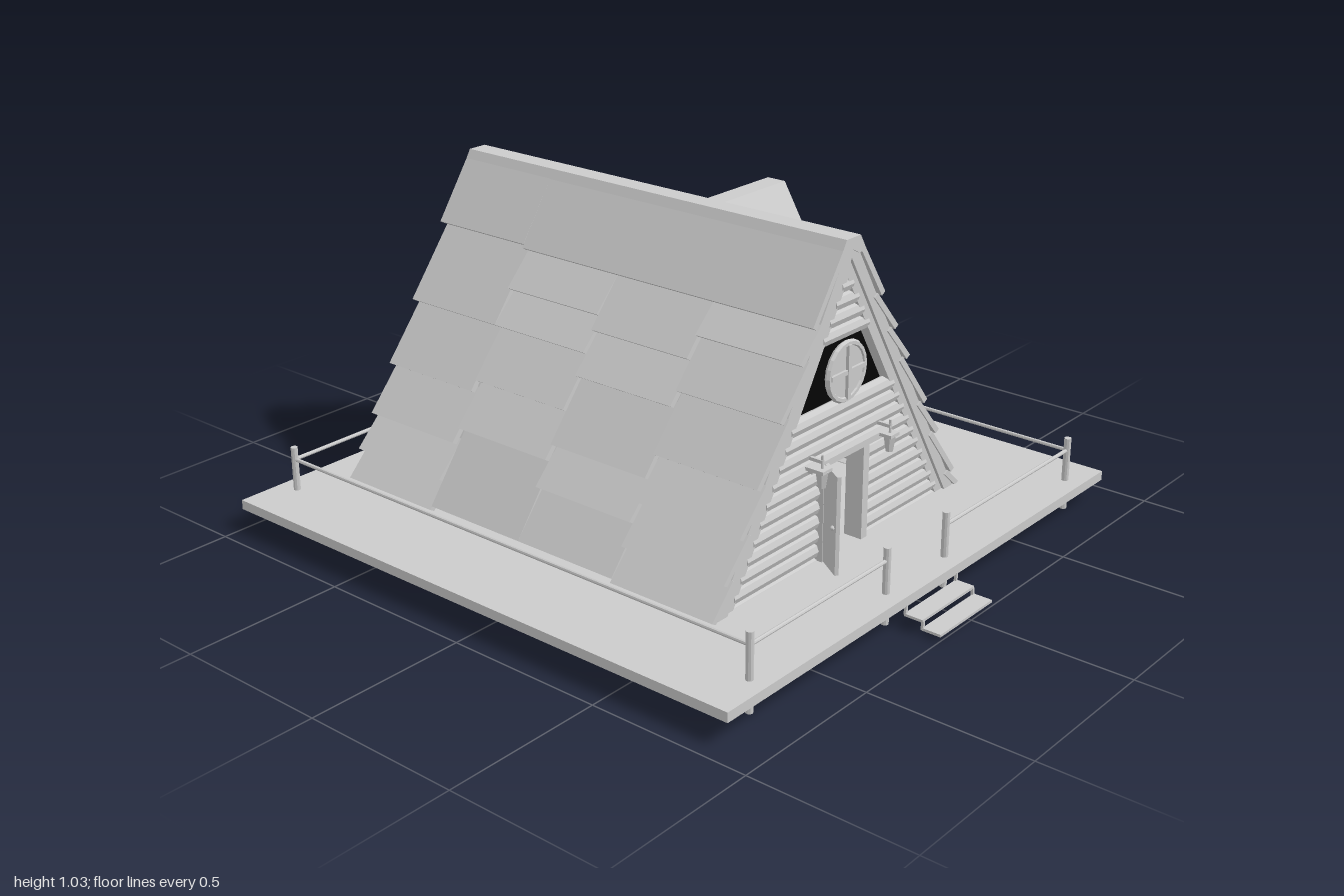
import * as THREE from 'three';

const grey = new THREE.MeshStandardMaterial({ color: 0xcccccc, flatShading: true, side: THREE.DoubleSide });
const black = new THREE.MeshStandardMaterial({ color: 0x050505, side: THREE.DoubleSide });
const CX = -0.027;                     // house centre line
const MAIN = { top: 1.03, half: 0.032, k: 0.6 };
const DORM = { top: 0.945, half: 0.033, k: 0.55 };
const halfAt = (r, y) => r.half + (r.top - y) * r.k;
const down = (r, y) => (r.top - y) * Math.hypot(1, r.k);   // distance along slope

function add(parent, name, geo, x = 0, y = 0, z = 0, mat = grey) {
  const m = new THREE.Mesh(geo, mat);
  m.name = name;
  m.position.set(x, y, z);
  parent.add(m);
  return m;
}
// box given by its limits
function box(parent, name, x0, x1, y0, y1, z0, z1) {
  return add(parent, name, new THREE.BoxGeometry(x1 - x0, y1 - y0, z1 - z0), (x0 + x1) / 2, (y0 + y1) / 2, (z0 + z1) / 2);
}
function rod(parent, name, r, a, b, sides = 8) {
  const A = new THREE.Vector3(...a), d = new THREE.Vector3(...b).sub(A);
  const m = add(parent, name, new THREE.CylinderGeometry(r, r, d.length(), sides));
  m.position.copy(A).addScaledVector(d, 0.5);
  m.quaternion.setFromUnitVectors(new THREE.Vector3(0, 1, 0), d.normalize());
}
function extrude(parent, name, pts, depth, z = 0) {
  const shape = new THREE.Shape(pts.map(p => new THREE.Vector2(...p)));
  return add(parent, name, new THREE.ExtrudeGeometry(shape, { depth, bevelEnabled: false }), 0, 0, z);
}
// frame on a roof slope: x runs down, y points outward; side -1 mirrors it
function slope(parent, r, side) {
  const mirror = new THREE.Group(), g = new THREE.Group();
  mirror.name = side > 0 ? 'slopeLeft' : 'slopeRight';
  mirror.scale.x = side;
  g.position.set(r.half, r.top, 0);
  g.rotation.z = -Math.atan2(1, r.k);
  mirror.add(g);
  parent.add(mirror);
  return g;
}

function roundWindow(parent, y, z, radius) {
  const g = new THREE.Group();
  g.name = 'roundWindow';
  g.position.set(0, y, z);
  parent.add(g);
  add(g, 'windowFrame', new THREE.TorusGeometry(radius - 0.009, 0.01, 6, 20));
  add(g, 'windowPane', new THREE.CylinderGeometry(radius - 0.01, radius - 0.01, 0.008, 20)).rotation.x = Math.PI / 2;
  const b = radius - 0.012;
  box(g, 'windowBar', -0.007, 0.007, -b, b, -0.008, 0.014);
  box(g, 'windowBar', -b, b, -0.007, 0.007, -0.008, 0.012);
}

// log wall with rafters, facing +z
function gable(name, r, o) {
  const g = new THREE.Group();
  g.name = name;
  const inner = y => halfAt(r, y) - o.inset;
  for (let y = o.base + o.first; inner(y + 0.02) > 0; y += o.step) {
    const w = inner(y);
    if (o.band && y > o.band[0] && y < o.band[1]) continue;
    if (o.door && y < 0.39) {
      rod(g, 'wallLog', o.log, [-w, y, 0], [-0.085, y, 0]);
      rod(g, 'wallLog', o.log, [0.085, y, 0], [w, y, 0]);
    } else rod(g, 'wallLog', o.log, [-w, y, 0], [w, y, 0]);
  }
  if (o.band) {
    const [a, b] = o.band, s = new THREE.Shape();
    s.moveTo(-inner(a), a).lineTo(inner(a), a).lineTo(inner(b), b).lineTo(-inner(b), b);
    add(g, 'darkGlass', new THREE.ShapeGeometry(s), 0, 0, -0.012, black);
  }
  roundWindow(g, o.windowY, 0.022, o.windowR);
  for (const side of [1, -1]) {
    const f = slope(g, r, side), end = down(r, o.base);
    box(f, 'outerRafter', 0.02, end, -0.058, -0.022, -0.02, 0.03);
    box(f, 'innerRafter', 0.045, end - 0.035, -o.inset * 0.86 - 0.012, -0.058, -0.02, 0.02);
  }
  return g;
}

// overlapping panels: columns of [z0, z1, heights of the lower edges]
function shingles(parent, columns, lift) {
  for (const [z0, z1, edges] of columns) {
    let u0 = 0;
    edges.forEach((y, i) => {
      const u1 = down(MAIN, y), s = u0 - (i ? 0.02 : 0), t = i ? -0.02 : -0.002;
      const out = i === edges.length - 1 ? lift / 2 : lift;
      extrude(parent, 'shingle', [[s, t], [u1, out], [u1, out - 0.018], [s, t - 0.018]], z1 - z0, z0);
      u0 = u1;
    });
  }
}

function ridge(parent, name, r, length, z) {
  const h = r.half, drop = 0.05, w = h + drop * r.k;
  extrude(parent, name, [[-h, r.top], [h, r.top], [w, r.top - drop], [w - 0.035, r.top - drop], [0, r.top - 0.035], [-w + 0.035, r.top - drop], [-w, r.top - drop]], length, z);
}

function createDormer() {
  const g = new THREE.Group();
  g.name = 'dormer';
  g.position.z = -0.1;
  const roofX = y => CX + halfAt(MAIN, y) - 0.015;
  for (const side of [1, -1]) {
    const mirror = new THREE.Group(), f = new THREE.Group();
    mirror.scale.z = side;
    f.position.set(0, DORM.top, DORM.half);
    f.rotation.x = Math.PI - Math.atan2(DORM.k, 1);   // y runs down the slope, z inward
    mirror.add(f);
    g.add(mirror);
    let y0 = DORM.top;
    [[0.74, 0.52, 0.012], [0.55, 0.525, 0.018], [0.385, 0.51, 0.006]].forEach(([y1, x1, out], i) => {
      const L = down(DORM, y1) - down(DORM, y0) + (i ? 0.02 : 0);
      const p = extrude(f, 'dormerShingle', [[roofX(y0), -L], [x1, -L], [x1 - 0.005, 0], [roofX(y1), 0]], 0.024);
      p.position.set(0, down(DORM, y1), -out);
      p.rotation.x = -(out + (i ? 0.015 : 0)) / L;
      y0 = y1;
    });
  }
  const cap = new THREE.Group();
  cap.rotation.y = Math.PI / 2;
  g.add(cap);
  ridge(cap, 'dormerRidge', DORM, 0.46, 0.06);
  const wall = gable('dormerGable', DORM, { base: 0.385, first: 0.022, inset: 0.085, step: 0.036, log: 0.019, windowY: 0.65, windowR: 0.085 });
  wall.rotation.y = Math.PI / 2;
  wall.position.x = 0.475;
  g.add(wall);
  return g;
}

export function createModel() {
  const root = new THREE.Group();
  root.name = 'cabin';

  // deck, steps and railing
  box(root, 'deck', -0.928, 0.925, 0.065, 0.095, -1, 0.885);
  box(root, 'step', -0.155, 0.105, 0.036, 0.044, 0.88, 0.94);
  box(root, 'step', -0.155, 0.105, 0.012, 0.02, 0.94, 1);
  for (const x of [-0.15, 0.1]) {
    box(root, 'stepRiser', x - 0.004, x + 0.004, 0.012, 0.04, 0.935, 0.943);
    box(root, 'stepRiser', x - 0.004, x + 0.004, 0.04, 0.07, 0.878, 0.886);
  }
  const path = [[-0.17, 0.828], [-0.77, 0.828], [-0.77, -0.933], [0.795, -0.933], [0.795, 0.828], [0.12, 0.828]];
  path.forEach(([x, z], i) => {
    rod(root, 'railPost', 0.011, [x, 0, z], [x, 0.235, z], 10);
    if (i) rod(root, 'handrail', 0.006, [path[i - 1][0], 0.195, path[i - 1][1]], [x, 0.195, z]);
  });

  const house = new THREE.Group();
  house.name = 'house';
  house.position.x = CX;
  root.add(house);

  // main roof
  const left = slope(house, MAIN, 1), right = slope(house, MAIN, -1);
  shingles(left, [
    [0.29, 0.585, [0.83, 0.71, 0.6, 0.43, 0.31, 0.15, 0.097]],
    [0.23, 0.29, [0.83, 0.72, 0.6, 0.43, 0.31, 0.15, 0.097]],
    [-0.13, 0.23, [0.83, 0.72, 0.6, 0.37, 0.097]],
    [-0.5, -0.13, [0.83, 0.72, 0.6, 0.37, 0.15, 0.097]],
    [-0.86, -0.5, [0.82, 0.585, 0.42, 0.3, 0.14, 0.115]],
  ], 0.008);
  shingles(right, [
    [0.22, 0.585, [0.81, 0.72, 0.58, 0.42, 0.3, 0.19, 0.1]],
    [-0.14, 0.22, [0.81, 0.66, 0.54, 0.36, 0.25, 0.11]],
    [-0.5, -0.14, [0.81, 0.7, 0.6, 0.45, 0.32, 0.11]],
    [-0.86, -0.5, [0.82, 0.6, 0.42, 0.28, 0.18, 0.1]],
  ], 0.014);
  for (const f of [left, right]) box(f, 'roofBoard', 0.02, down(MAIN, 0.115), -0.07, -0.024, -0.84, 0.565);
  ridge(house, 'ridgeCap', MAIN, 1.445, -0.86);

  // sill logs along the sides, sunk into the deck
  for (const x of [-0.5, 0.5]) rod(house, 'sillLog', 0.024, [x, 0.08, -0.83], [x, 0.08, 0.555]);

  // gable walls
  const opts = { base: 0.095, first: -0.015, inset: 0.09, step: 0.045, log: 0.024, band: [0.545, 0.74], windowY: 0.64, windowR: 0.092 };
  const front = gable('frontGable', MAIN, { ...opts, door: true });
  front.position.z = 0.55;
  const back = gable('backGable', MAIN, opts);
  back.rotation.y = Math.PI;
  back.position.z = -0.825;
  house.add(front, back);

  // doorway and open door
  for (const x of [-0.095, 0.095]) box(house, 'doorJamb', x - 0.014, x + 0.014, 0.095, 0.4, 0.525, 0.585);
  box(house, 'doorLintel', -0.17, 0.17, 0.39, 0.41, 0.525, 0.59);
  const door = new THREE.Group();
  door.name = 'door';
  door.position.set(-0.08, 0, 0.555);
  door.rotation.y = Math.PI + Math.atan2(0.115, 0.075);
  house.add(door);
  box(door, 'doorLeaf', 0, 0.137, 0.1, 0.4, -0.006, 0.006);
  add(door, 'doorKnob', new THREE.SphereGeometry(0.007, 8, 6), 0.12, 0.24, 0.01);

  // wall lamps
  for (const x of [-0.155, 0.17]) {
    const lamp = new THREE.Group();
    lamp.name = 'wallLamp';
    lamp.position.set(x, 0, 0);
    house.add(lamp);
    box(lamp, 'lampPlate', -0.022, 0.022, 0.4, 0.41, 0.565, 0.63);
    box(lamp, 'lampArm', -0.005, 0.005, 0.425, 0.435, 0.57, 0.615);
    add(lamp, 'lampShade', new THREE.CylinderGeometry(0.02, 0.012, 0.05, 6), 0, 0.378, 0.612);
    rod(lamp, 'lampHook', 0.004, [0, 0.4, 0.612], [0, 0.45, 0.612]);
  }

  // small table indoors
  box(house, 'tableTop', -0.06, 0.04, 0.165, 0.175, 0.1, 0.25);
  for (const x of [-0.05, 0.03]) for (const z of [0.11, 0.24]) rod(house, 'tableLeg', 0.005, [x, 0.095, z], [x, 0.165, z], 6);

  root.add(createDormer());
  return root;
}
